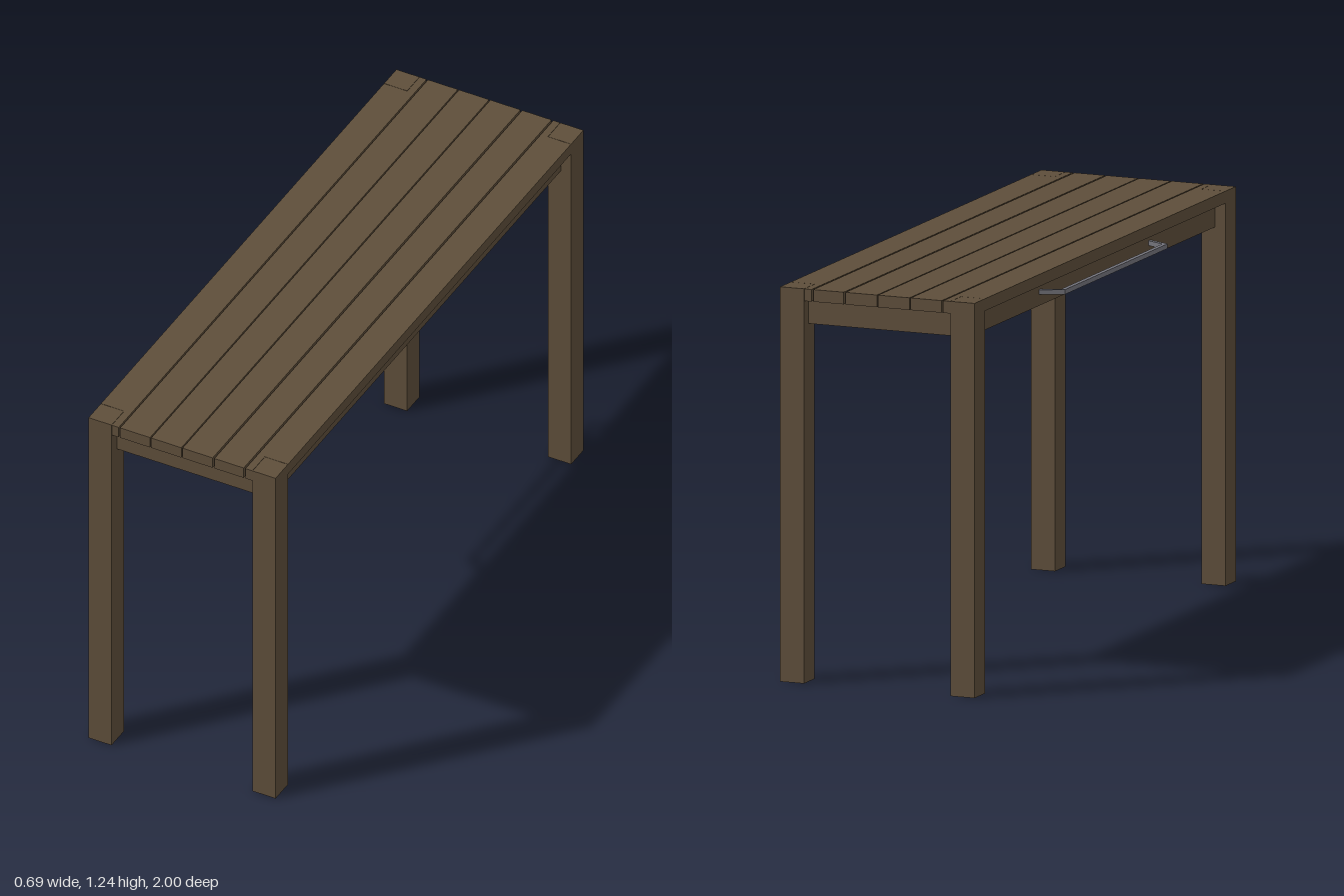
import * as THREE from 'three';

export function createModel() {
  const wood = new THREE.MeshStandardMaterial({ color: 0x5e4e3a });
  wood.name = 'dark wood';
  const metal = new THREE.MeshStandardMaterial({ color: 0x74747c });
  metal.name = 'grey metal';

  const table = new THREE.Group();
  table.name = 'table';

  const L = -0.308, R = 0.343; // outer faces of the tabletop
  const TOP = 1.235, DECK = 1.197, RAIL = 1.12;
  const LEG = 0.08;

  // Box given by its minimum and maximum corners
  function box(name, x0, x1, y0, y1, z0, z1) {
    const mesh = new THREE.Mesh(new THREE.BoxGeometry(x1 - x0, y1 - y0, z1 - z0), wood);
    mesh.position.set((x0 + x1) / 2, (y0 + y1) / 2, (z0 + z1) / 2);
    mesh.name = name;
    table.add(mesh);
  }

  // Flat outline of [x, z] points raised from y0 to y1
  function slab(name, points, y0, y1, material) {
    const shape = new THREE.Shape(points.map(([x, z]) => new THREE.Vector2(x, -z)));
    const geometry = new THREE.ExtrudeGeometry(shape, { depth: y1 - y0, bevelEnabled: false });
    geometry.rotateX(-Math.PI / 2);
    const mesh = new THREE.Mesh(geometry, material);
    mesh.position.y = y0;
    mesh.name = name;
    table.add(mesh);
  }

  // Legs run up through the corners of the top; end rails join them
  for (const s of [-1, 1]) {
    const z0 = s > 0 ? 1 - LEG : -1;
    box('leg', L, L + LEG, 0, TOP, z0, z0 + LEG);
    box('leg', R - LEG, R, 0, TOP, z0, z0 + LEG);
    box('endRail', L + LEG, R - LEG, RAIL, DECK, s * 0.947 - 0.018, s * 0.947 + 0.018);
  }

  // Long side rails, set in from the outer faces
  box('sideRail', L + 0.035, L + 0.071, RAIL, DECK, -1 + LEG, 1 - LEG);
  box('sideRail', R - 0.071, R - 0.035, RAIL, DECK, -1 + LEG, 1 - LEG);

  // Inner boards of the top
  for (const [x0, x1] of [[-0.198, -0.094], [-0.09, 0.015], [0.019, 0.124], [0.13, 0.232]]) {
    box('topBoard', x0, x1, DECK, TOP, -1, 1);
  }

  // Outer boards, notched round the legs
  function edgeBoard(outer, leg, inner) {
    const n = 1 - LEG - 0.001;
    slab('edgeBoard', [
      [outer, -n], [leg, -n], [leg, -1], [inner, -1],
      [inner, 1], [leg, 1], [leg, n], [outer, n],
    ], DECK, TOP, wood);
  }
  edgeBoard(L, L + LEG + 0.001, -0.203);
  edgeBoard(R, R - LEG - 0.001, 0.238);

  // Towel bar with splayed ends that meet the side rail
  slab('towelBar', [
    [-0.273, -0.428], [-0.345, -0.393], [-0.345, 0.393], [-0.273, 0.428],
    [-0.273, 0.412], [-0.331, 0.384], [-0.331, -0.384], [-0.273, -0.412],
  ], 1.155, 1.17, metal);

  return table;
}
